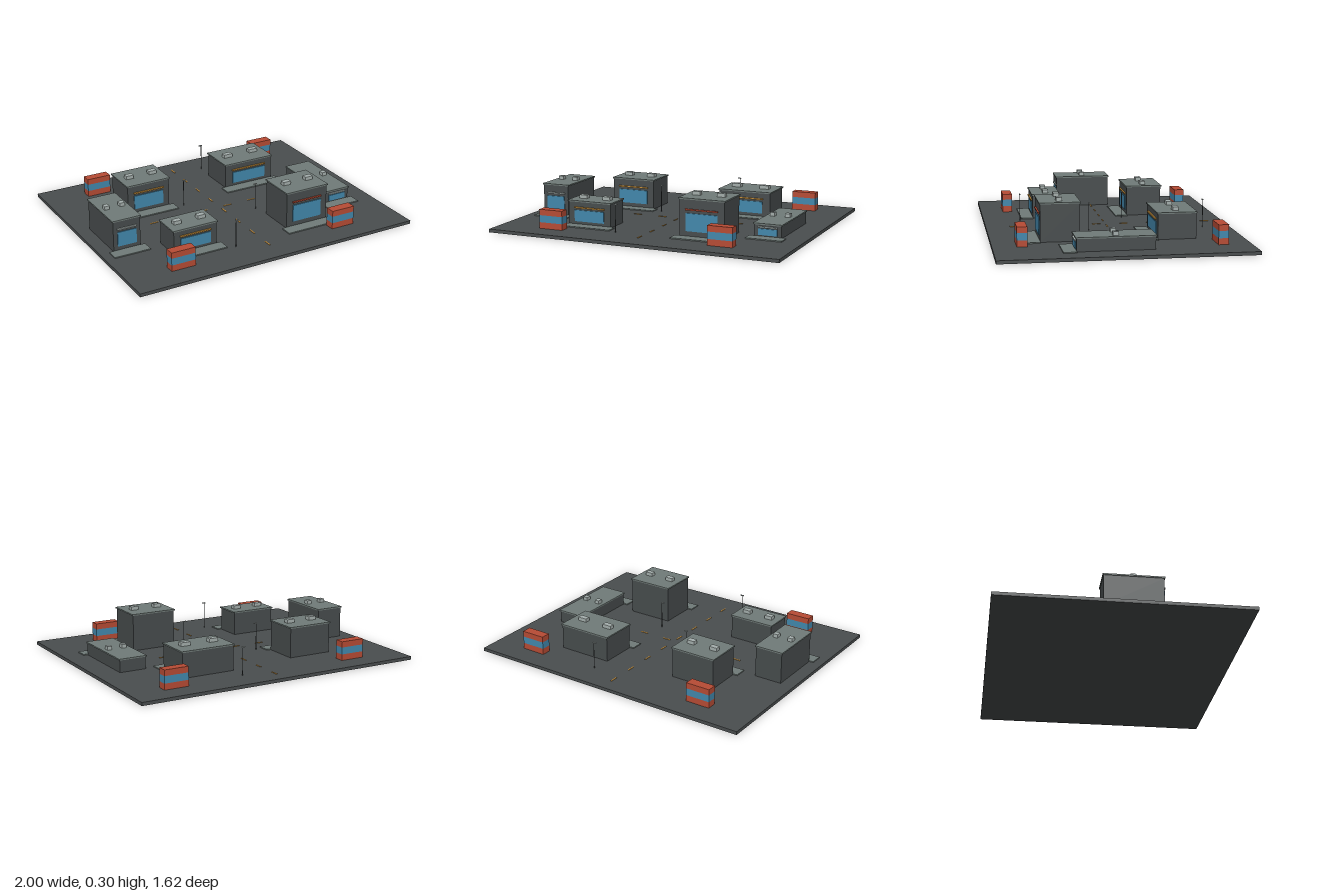
import * as THREE from 'three';

const mat = (name, color) => {
  const m = new THREE.MeshStandardMaterial({ color });
  m.name = name;
  return m;
};

const GROUND_TOP = 0.022;

export function createModel() {
  const asphalt = mat('asphalt', 0x4a4e4f);
  const wall = mat('wall', 0x484d4e);
  const concrete = mat('concrete', 0x717c79);
  const metal = mat('paleMetal', 0xa6b0ae);
  const glass = mat('blue', 0x4389ae);
  const red = mat('red', 0xb84c35);
  const orange = mat('orange', 0xc8913c);
  const model = new THREE.Group();
  model.name = 'businessPark';

  // Box given by its centre on the plan and the height of its bottom
  const box = (parent, name, material, w, h, d, x, y, z) => {
    const mesh = new THREE.Mesh(new THREE.BoxGeometry(w, h, d), material);
    mesh.name = name;
    mesh.position.set(x, y + h / 2, z);
    parent.add(mesh);
    return mesh;
  };
  const group = (name, x, y, z) => {
    const g = new THREE.Group();
    g.name = name;
    g.position.set(x, y, z);
    model.add(g);
    return g;
  };

  box(model, 'ground', asphalt, 2, GROUND_TOP, 1.62, 0, 0, 0);

  // Dashed road markings along both axes
  for (let i = 0; i < 8; i++) {
    const t = -0.685 + i * 0.1865;
    box(model, 'laneDashLengthwise', orange, 0.008, 0.003, 0.057, 0, GROUND_TOP, t);
    box(model, 'laneDashCrosswise', orange, 0.057, 0.003, 0.008, t, GROUND_TOP, 0);
  }

  // Buildings: roof outline x0, x1, z0, z1, roof height, sign colour
  const buildings = [
    [-0.6, -0.28, -0.443, -0.19, 0.23, orange],
    [0.185, 0.567, -0.507, -0.245, 0.197, orange],
    [-0.914, -0.714, -0.135, 0.253, 0.238, metal],
    [-0.6, -0.28, 0.275, 0.472, 0.187, orange],
    [0.215, 0.535, 0.24, 0.505, 0.275, red],
    [0.65, 0.845, -0.19, 0.315, 0.112, metal],
  ];
  for (const [x0, x1, z0, z1, top, signMaterial] of buildings) {
    const g = group('building', (x0 + x1) / 2, GROUND_TOP, (z0 + z1) / 2);
    const w = x1 - x0, d = z1 - z0, h = top - GROUND_TOP;
    const ww = w - 0.012, wd = d - 0.012, front = wd / 2;
    box(g, 'walls', wall, ww, h - 0.009, wd, 0, 0, 0);
    box(g, 'roof', concrete, w, 0.009, d, 0, h - 0.009, 0);
    box(g, 'forecourt', concrete, w + 0.05, 0.007, 0.084, 0, 0, front + 0.042);
    box(g, 'window', glass, ww * 0.7, h * 0.46, 0.006, 0, h * 0.155, front + 0.003);
    box(g, 'sign', signMaterial, ww * 0.72, 0.009, 0.01, 0, h * 0.69, front + 0.005);
    for (const side of [-1, 1]) {
      box(g, 'roofUnit', metal, w * 0.17, 0.024, 0.037, side * w * 0.267, h, 0);
    }
  }

  // Banded containers: red, blue, red
  for (const [x, z] of [[-0.625, -0.628], [0.688, -0.628], [-0.625, 0.623], [0.56, 0.623]]) {
    const g = group('container', x, GROUND_TOP, z);
    box(g, 'lowerBand', red, 0.167, 0.041, 0.066, 0, 0, 0);
    box(g, 'middleBand', glass, 0.167, 0.047, 0.066, 0, 0.041, 0);
    box(g, 'upperBand', red, 0.167, 0.039, 0.066, 0, 0.088, 0);
  }

  // Street lamps with heads reaching over the road
  for (const [x, z] of [[-0.2, -0.145], [0.2, -0.627], [0.2, 0.142], [-0.2, 0.563]]) {
    const g = group('streetLamp', x, GROUND_TOP, z);
    const pole = new THREE.Mesh(new THREE.CylinderGeometry(0.0022, 0.0022, 0.184, 8), wall);
    pole.name = 'lampPole';
    pole.position.y = 0.092;
    g.add(pole);
    box(g, 'lampHead', metal, 0.024, 0.006, 0.008, -Math.sign(x) * 0.006, 0.182, 0);
  }

  return model;
}
